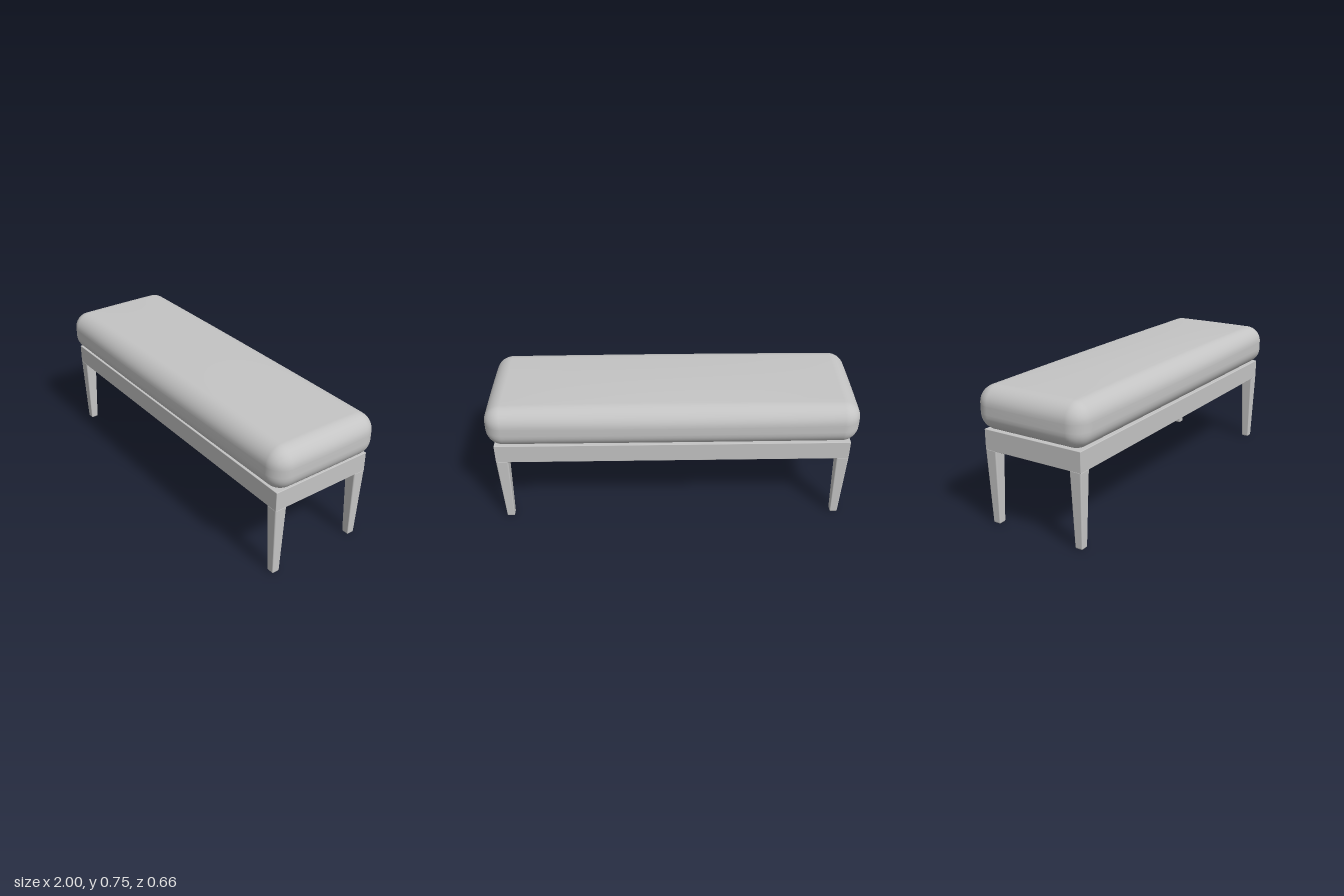
import * as THREE from 'three';
import { mergeVertices } from 'three/addons/utils/BufferGeometryUtils.js';
import { RoundedBoxGeometry } from 'three/addons/geometries/RoundedBoxGeometry.js';

// Rounded box with dense corners and subdivided faces, smooth all over
function softBox(w, h, d, radius, cornerSegs, faceSegs) {
  const n = cornerSegs * 2 + faceSegs;
  const geo = new THREE.BoxGeometry(2, 2, 2, n, n, n);
  geo.deleteAttribute('uv');
  geo.deleteAttribute('normal');
  const half = [w / 2 - radius, h / 2 - radius, d / 2 - radius];
  const pos = geo.attributes.position;
  const inner = new THREE.Vector3(), dir = new THREE.Vector3();
  for (let i = 0; i < pos.count; i++) {
    for (let a = 0; a < 3; a++) {
      const t = pos.getComponent(i, a);
      const steps = Math.abs(t) * n / 2, flat = faceSegs / 2;
      const over = Math.max(0, (steps - flat) / cornerSegs);
      inner.setComponent(a, Math.sign(t) * half[a] * Math.min(1, steps / flat));
      dir.setComponent(a, Math.sign(t) * Math.tan(over * Math.PI / 4));
    }
    dir.normalize().multiplyScalar(radius).add(inner);
    pos.setXYZ(i, dir.x, dir.y, dir.z);
  }
  return mergeVertices(geo, 1e-5);
}

// Cushion: soft block with a crowned top and slightly bulging sides
function cushionGeometry() {
  const w = 1.99, h = 0.23, d = 0.648;
  const geo = softBox(w, h, d, 0.09, 6, 12);
  const pos = geo.attributes.position;
  for (let i = 0; i < pos.count; i++) {
    const x = pos.getX(i), y = pos.getY(i), z = pos.getZ(i);
    const u = 1 - (2 * x / w) ** 2, v = 1 - (2 * y / h) ** 2, s = 1 - (2 * z / d) ** 2;
    const crown = y > 0 ? 0.014 * u * s * (2 * y / h) : 0;
    pos.setXYZ(i, x + Math.sign(x) * 0.005 * v * s * (2 * x / w) ** 2, y + crown,
      z + 0.008 * u * v * (2 * z / d));
  }
  geo.computeVertexNormals();
  return geo;
}

// Square leg with softened edges, narrowing towards the floor
function legGeometry(height, top, bottom) {
  const geo = new RoundedBoxGeometry(top, height, top, 3, 0.008);
  const pos = geo.attributes.position;
  for (let i = 0; i < pos.count; i++) {
    const t = pos.getY(i) / height + 0.5;
    const k = THREE.MathUtils.lerp(bottom / top, 1, t);
    pos.setX(i, pos.getX(i) * k);
    pos.setZ(i, pos.getZ(i) * k);
  }
  return geo;
}

export function createModel() {
  const model = new THREE.Group();
  model.name = 'bench';
  const grey = new THREE.MeshStandardMaterial({ color: 0xc4c4c4 });
  grey.name = 'light grey';

  const add = (name, geo, x, y, z) => {
    const mesh = new THREE.Mesh(geo, grey);
    mesh.name = name;
    mesh.position.set(x, y, z);
    model.add(mesh);
  };

  add('cushion', cushionGeometry(), 0, 0.622, 0);
  add('frame', new RoundedBoxGeometry(1.918, 0.109, 0.584, 2, 0.003), 0, 0.4555, 0);

  // Four legs, one under each corner of the frame
  const leg = legGeometry(0.408, 0.068, 0.042);
  for (const x of [-1, 1]) {
    for (const z of [-1, 1]) {
      add((z > 0 ? 'front' : 'back') + (x > 0 ? 'Left' : 'Right') + 'Leg',
        leg, x * 0.926, 0.204, z * 0.259);
    }
  }
  return model;
}
